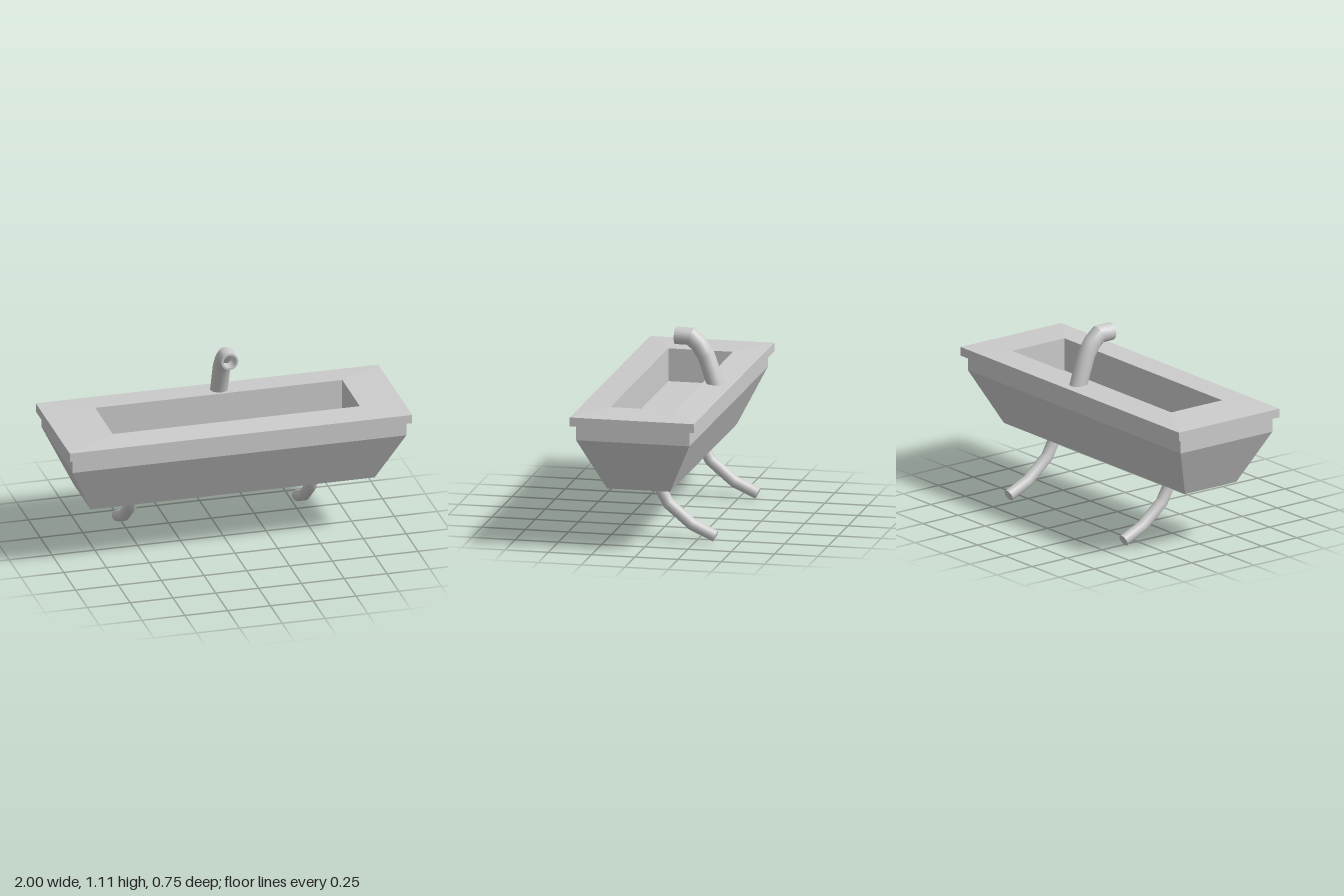
import * as THREE from 'three';
import { toCreasedNormals } from 'three/addons/utils/BufferGeometryUtils.js';

const smooth = new THREE.MeshStandardMaterial({ color: 0xcccccc });
const faceted = new THREE.MeshStandardMaterial({ color: 0xcccccc, flatShading: true });

// Joins consecutive closed rings of points into a skin.
function loft(rings) {
  const n = rings[0].length;
  const index = [];
  for (let i = 0; i < rings.length - 1; i++) {
    for (let j = 0; j < n; j++) {
      const a = i * n + j, b = i * n + (j + 1) % n;
      index.push(a, b, b + n, a, b + n, a + n);
    }
  }
  const geometry = new THREE.BufferGeometry();
  geometry.setAttribute('position', new THREE.Float32BufferAttribute(rings.flat(2), 3));
  geometry.setIndex(index);
  geometry.computeVertexNormals();
  return geometry;
}

// Level rectangle, given its x range, z range and height.
const rect = (x0, x1, z0, z1, y) => [[x1, y, z1], [x1, y, z0], [x0, y, z0], [x0, y, z1]];

// Mitred circular ring at point i of a [z, y] path.
function pipeRing(path, i, radius, sides = 16) {
  const dir = (a, b) => new THREE.Vector2(b[0] - a[0], b[1] - a[1]).normalize();
  const before = dir(path[Math.max(i - 1, 0)], path[Math.max(i, 1)]);
  const last = path.length - 1;
  const after = dir(path[Math.min(i, last - 1)], path[Math.min(i + 1, last)]);
  const t = before.clone().add(after).normalize();
  const miter = 1 / t.dot(after);
  return Array.from({ length: sides }, (_, j) => {
    const a = (j / sides) * Math.PI * 2;
    const s = Math.sin(a) * radius * miter;
    return [Math.cos(a) * radius, path[i][1] + s * t.x, path[i][0] - s * t.y];
  });
}

function addMesh(group, name, geometry, material, x = 0) {
  const mesh = new THREE.Mesh(geometry, material);
  mesh.name = name;
  mesh.position.x = x;
  group.add(mesh);
}

export function createModel() {
  const group = new THREE.Group();
  group.name = 'sink';

  // Tapered body
  addMesh(group, 'body', loft([
    rect(0, 0, 0.02, 0.02, 0.35),
    rect(-0.83, 0.83, -0.165, 0.2, 0.35),
    rect(-0.975, 0.975, -0.31, 0.345, 0.655),
    rect(-0.975, 0.975, -0.31, 0.345, 0.74),
  ]), faceted);

  // Overhanging rim with a gently raised top, running down into the basin
  addMesh(group, 'rimAndBasin', loft([
    rect(-0.975, 0.975, -0.31, 0.345, 0.74),
    rect(-1, 1, -0.342, 0.376, 0.74),
    rect(-1, 1, -0.342, 0.376, 0.791),
    rect(-0.7, 0.743, -0.173, 0.2, 0.8),
    rect(-0.7, 0.743, -0.173, 0.2, 0.61),
    rect(0.02, 0.02, 0.013, 0.013, 0.61),
  ]), faceted);

  // Hollow curved spout: outer skin, then back along the bore
  const spout = [[-0.252, 0.775], [-0.19, 0.957], [-0.15, 1.02], [-0.102, 1.062], [-0.014, 1.063]];
  const outer = spout.map((_, i) => pipeRing(spout, i, 0.05));
  const bore = spout.map((_, i) => pipeRing(spout, i, 0.038)).reverse();
  addMesh(group, 'faucet', toCreasedNormals(loft([...outer, ...bore]), 0.5), smooth, 0.043);

  // Two capped waste pipes bending to the back
  const drain = [[-0.024, 0.37], [-0.047, 0.283], [-0.087, 0.21], [-0.225, 0.095], [-0.36, 0.034]];
  const skin = drain.map((_, i) => pipeRing(drain, i, 0.034));
  skin.push(pipeRing(drain, drain.length - 1, 0));
  const drainGeometry = toCreasedNormals(loft(skin), 0.5);
  addMesh(group, 'rightDrainPipe', drainGeometry, smooth, -0.517);
  addMesh(group, 'leftDrainPipe', drainGeometry, smooth, 0.535);

  return group;
}
